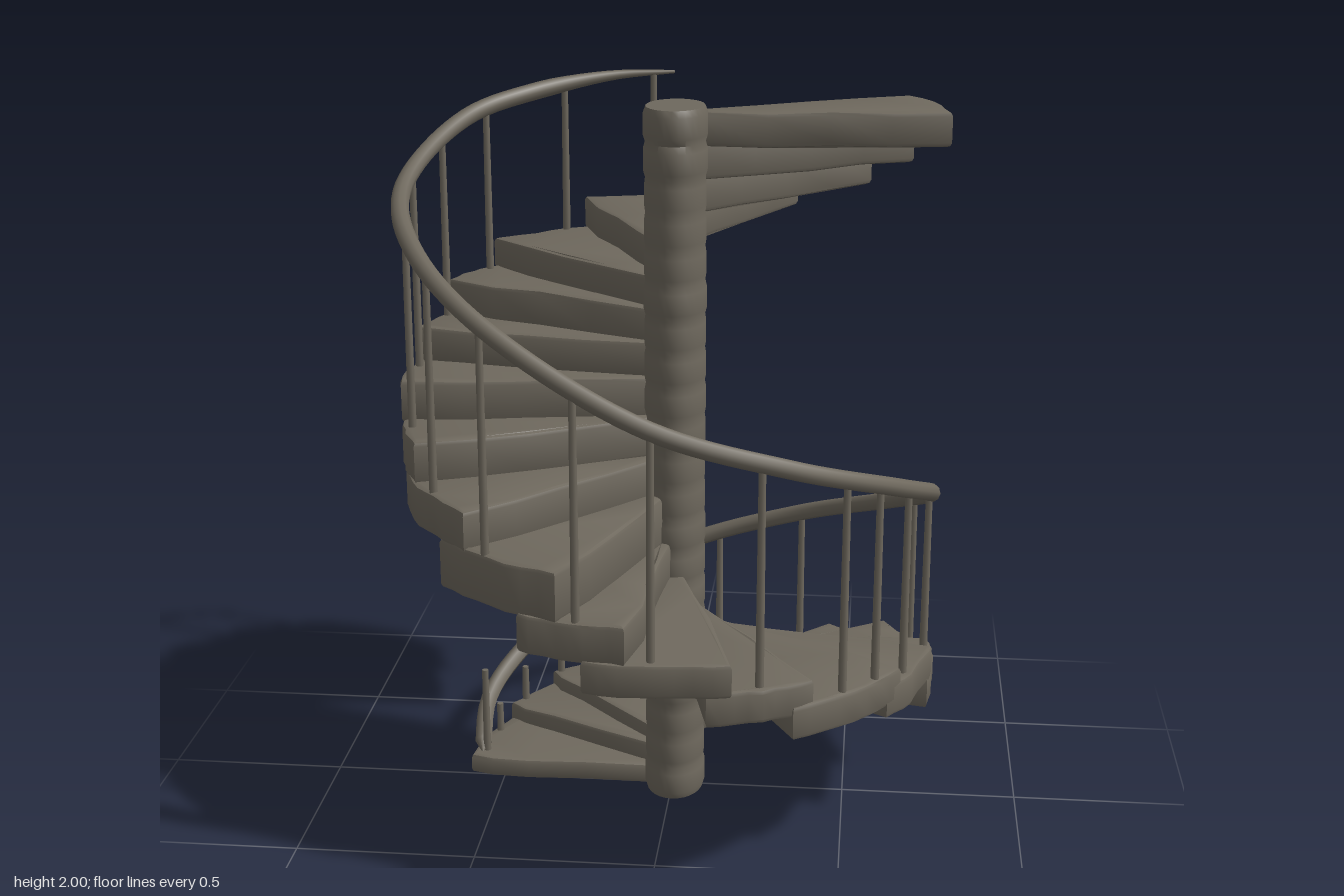
import * as THREE from 'three';
import { toCreasedNormals } from 'three/addons/utils/BufferGeometryUtils.js';

const stone = new THREE.MeshStandardMaterial({ color: 0x6e685d });
stone.name = 'grey brown stone';

let seed = 7;
const rand = () => ((seed = (seed * 16807) % 2147483647) / 2147483647);
const jitter = (a) => (rand() * 2 - 1) * a;
const rad = THREE.MathUtils.degToRad;

// Nose angle (degrees from +x towards the back) and top height of each tread, from the top down
const edges = [6, 32, 47, 67, 92, 116, 140, 156, 172, 190, 207, 229, 252, 266, 287, 305, 331, 352, 371, 395, 414, 470, 494, 512, 540];
const tops = [1.98, 1.9, 1.8, 1.705, 1.615, 1.525, 1.44, 1.345, 1.25, 1.14, 1.03, 0.925, 0.795, 0.695, 0.615, 0.555, 0.515, 0.44, 0.37, 0.285, 0.215, 0.155, 0.112, 0.06];

// How far a tread runs on beneath the one above it, in degrees
const overlap = (k) => (k < 4 || (k > 17 && k < 22) ? 2 : k > 21 ? 18 : k > 9 && k < 14 ? 9 : 5);

// Tread radius, shrinking towards the foot of the flight
const rimRadius = (deg) => THREE.MathUtils.clamp(0.735 - (deg - 447) * 0.004, 0.585, 0.735);

// Handrail path: angle, height, radius
const railPath = [
  [538, 0.06, 0.57], [520, 0.16, 0.615], [497, 0.27, 0.64], [475, 0.385, 0.67], [450, 0.505, 0.695],
  [422, 0.63, 0.715], [394, 0.76, 0.72], [360, 0.93, 0.725], [330, 1.07, 0.725], [300, 1.195, 0.71],
  [270, 1.315, 0.695], [236, 1.52, 0.715], [210, 1.66, 0.725], [183, 1.77, 0.73], [150, 1.9, 0.72],
  [130, 1.945, 0.715], [110, 1.978, 0.71], [95, 1.985, 0.715],
];

const balusterAngles = [100, 122, 144, 160, 177, 195, 214, 233, 255, 271, 294, 314, 324, 336, 357, 378, 407, 421, 443, 474, 493, 508, 522];

function polar(deg, y, r) {
  return new THREE.Vector3(r * Math.cos(rad(deg)), y, -r * Math.sin(rad(deg)));
}

function railAt(deg) {
  let i = 0;
  while (i < railPath.length - 2 && railPath[i + 1][0] > deg) i++;
  const [a, b] = [railPath[i], railPath[i + 1]];
  const t = (deg - a[0]) / (b[0] - a[0]);
  return { y: a[1] + (b[1] - a[1]) * t, r: a[2] + (b[2] - a[2]) * t };
}

// Worn wedge-shaped slab
function makeTread(k) {
  const start = edges[k] - (k === 0 ? 0 : overlap(k)), end = edges[k + 1];
  const pts = [];
  const add = (deg, r) => pts.push(new THREE.Vector2(r * 1.015 * Math.cos(rad(deg)), r * 0.988 * Math.sin(rad(deg))));
  for (const r of [0.06, 0.25, 0.42, 0.58]) add(start + jitter(0.5), Math.min(r, rimRadius(start) - 0.06));
  for (let i = 0; i <= 8; i++) {
    const deg = start + ((end - start) * i) / 8;
    add(deg, rimRadius(deg) + jitter(0.006));
  }
  // The nose meets the column slightly forward of its centre
  for (const r of [0.57, 0.42, 0.25, 0.06]) add(end + jitter(0.8) + 0.8 / r, Math.min(r, rimRadius(end) - 0.06));
  // Each slab reaches down to the top of the next one
  const bevel = 0.012;
  const rise = tops[k] - (tops[k + 1] ?? 0);
  const thick = Math.min(Math.max(0.095, rise + 0.01), tops[k]);
  const geo = new THREE.ExtrudeGeometry(new THREE.Shape(pts), {
    depth: thick - 2 * bevel, bevelEnabled: true, bevelThickness: bevel,
    bevelSize: bevel, bevelOffset: -bevel, bevelSegments: 2, steps: 1,
  });
  geo.rotateX(-Math.PI / 2);
  geo.translate(0, tops[k] - thick + bevel, 0);
  // Gentle unevenness
  const p = geo.attributes.position;
  for (let i = 0; i < p.count; i++) {
    const wave = 0.004 * Math.sin(p.getX(i) * 17 + k * 2) * Math.cos(p.getZ(i) * 15 + k);
    p.setY(i, Math.max(0, p.getY(i) + wave));
  }
  const mesh = new THREE.Mesh(toCreasedNormals(geo, 0.6), stone);
  mesh.name = 'tread' + (tops.length - k);
  return mesh;
}

// Oval newel post of rounded stone courses
function makeColumn() {
  const profile = [new THREE.Vector2(0, 0)];
  const courses = 21, h = 2 / courses;
  for (let i = 0; i < courses; i++) {
    const r = 1 + jitter(0.02);
    profile.push(new THREE.Vector2(0.95, i * h + 0.001));
    profile.push(new THREE.Vector2(r, i * h + h * 0.2));
    profile.push(new THREE.Vector2(r, i * h + h * 0.8));
  }
  profile.push(new THREE.Vector2(0.93, 2), new THREE.Vector2(0, 2));
  const geo = new THREE.LatheGeometry(profile, 28);
  geo.scale(0.086, 1, 0.115);
  geo.translate(0.008, 0, -0.002);
  const mesh = new THREE.Mesh(toCreasedNormals(geo, 0.7), stone);
  mesh.name = 'centralColumn';
  return mesh;
}

// Spiral handrail, narrowing to a tip at its upper end
function makeHandrail() {
  const curve = new THREE.CatmullRomCurve3(railPath.map(([a, y, r]) => polar(a, y, r)), false, 'centripetal');
  const segs = 140, sides = 10;
  const geo = new THREE.TubeGeometry(curve, segs, 0.025, sides, false);
  const p = geo.attributes.position, v = new THREE.Vector3();
  for (let i = 0; i <= segs; i++) {
    const t = i / segs;
    const s = i === 0 ? 0.01 : Math.min(1, 0.2 + (1 - t) * 12);
    const c = curve.getPointAt(t);
    for (let j = 0; j <= sides; j++) {
      const n = i * (sides + 1) + j;
      v.fromBufferAttribute(p, n).sub(c).multiplyScalar(s).add(c);
      p.setXYZ(n, v.x, v.y, v.z);
    }
  }
  geo.computeVertexNormals();
  const mesh = new THREE.Mesh(geo, stone);
  mesh.name = 'handrail';
  return mesh;
}

function makeBaluster(deg, bottom, top, r) {
  const geo = new THREE.CylinderGeometry(0.0095, 0.0115, top - bottom, 8);
  const mesh = new THREE.Mesh(geo, stone);
  mesh.position.copy(polar(deg, (bottom + top) / 2, r));
  mesh.name = 'baluster';
  return mesh;
}

export function createModel() {
  const model = new THREE.Group();
  model.name = 'spiralStaircase';

  const treads = new THREE.Group();
  treads.name = 'treads';
  for (let k = 0; k < tops.length; k++) treads.add(makeTread(k));

  // Balusters stand on the tread below each point of the rail
  const balusters = new THREE.Group();
  balusters.name = 'balusters';
  for (const deg of balusterAngles) {
    const k = edges.findIndex((e) => e > deg) - 1;
    const { y, r } = railAt(deg);
    balusters.add(makeBaluster(deg, tops[k] - 0.02, y, Math.min(r, rimRadius(deg) - 0.015)));
  }
  // Tall post at the foot of the rail
  balusters.add(makeBaluster(536, 0.03, 0.32, 0.56));

  model.add(makeColumn(), treads, balusters, makeHandrail());
  return model;
}
